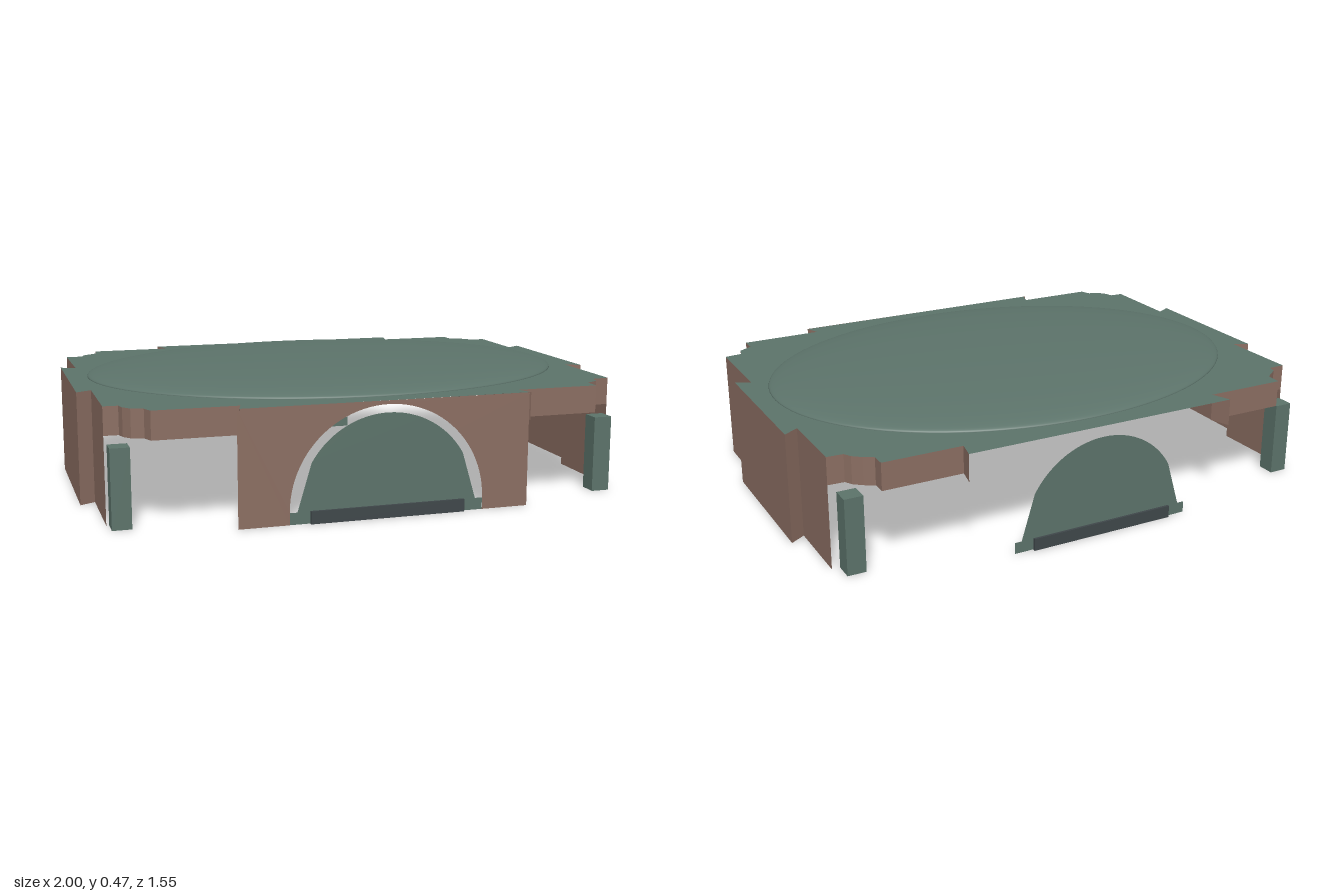
import * as THREE from 'three';

const mat = (name, color, extra = {}) => Object.assign(new THREE.MeshStandardMaterial({ color, ...extra }), { name });

export function createModel() {
  const green = mat('slate green', 0x5c736a, { side: THREE.DoubleSide });
  const brown = mat('clay brown', 0x8b6e62, { side: THREE.DoubleSide });
  const dark = mat('charcoal', 0x3f474a);

  const model = new THREE.Group();
  const add = (name, geometry, material, x = 0, y = 0, z = 0) => {
    const mesh = new THREE.Mesh(geometry, material);
    mesh.name = name;
    mesh.position.set(x, y, z);
    model.add(mesh);
    return mesh;
  };

  const TOP = 0.41, SKIRT = 0.31;

  // Roof outline as [x, z], clockwise from above, starting at the front bay
  const outline = [
    [0.532, 0.757], [-0.522, 0.76], [-0.505, 0.705], [-0.805, 0.705], [-0.82, 0.665], [-0.862, 0.65],
    [-0.885, 0.62], [-0.893, 0.587], [-0.945, 0.585], [-0.945, 0.265], [-1, 0.295], [-1, -0.285],
    [-0.945, -0.255], [-0.95, -0.56], [-0.885, -0.562], [-0.88, -0.59], [-0.855, -0.61], [-0.82, -0.635],
    [-0.815, -0.695], [-0.508, -0.695], [-0.535, -0.765], [0.525, -0.765], [0.51, -0.695], [0.805, -0.695],
    [0.805, -0.645], [0.84, -0.625], [0.87, -0.6], [0.885, -0.573], [0.945, -0.57], [0.945, -0.29],
    [1, -0.325], [1, 0.255], [0.945, 0.225], [0.945, 0.562], [0.88, 0.57], [0.87, 0.61],
    [0.82, 0.64], [0.82, 0.7], [0.51, 0.702],
  ];

  // Flat roof with an oval opening for the dome
  const RX = 0.925, RZ = 0.685;
  const roof = new THREE.Shape(outline.map(([x, z]) => new THREE.Vector2(x, -z)));
  roof.holes.push(new THREE.Path().absellipse(0, 0, RX, RZ, 0, Math.PI * 2));
  add('roof', new THREE.ShapeGeometry(roof, 48).rotateX(-Math.PI / 2), green, 0, TOP, 0);

  // Shallow oval dome
  const dome = new THREE.SphereGeometry(1, 96, 24, 0, Math.PI * 2, 0, Math.PI / 2);
  add('dome', dome.scale(RX, 0.055, RZ), green, 0, TOP, 0);

  // Full-height side walls and the shallow skirt; the two middle bays stay open
  const walls = [], skirt = [];
  outline.forEach(([ax, az], i) => {
    const [bx, bz] = outline[(i + 1) % outline.length];
    if (Math.abs(az) > 0.75 && Math.abs(bz) > 0.75) return;
    const full = Math.abs(ax) > 0.94 && Math.abs(bx) > 0.94;
    const low = full ? 0 : SKIRT;
    (full ? walls : skirt).push(
      ax, low, az, ax, TOP, az, bx, TOP, bz,
      ax, low, az, bx, TOP, bz, bx, low, bz);
  });
  const faces = (positions) => {
    const g = new THREE.BufferGeometry();
    g.setAttribute('position', new THREE.Float32BufferAttribute(positions, 3));
    g.computeVertexNormals();
    return g;
  };
  add('sideWalls', faces(walls), brown);
  add('skirt', faces(skirt), brown);

  // Front wall with an arched opening down to the ground
  const wall = new THREE.Shape();
  wall.moveTo(-0.53, 0).lineTo(-0.352, 0).lineTo(-0.352, 0.045);
  wall.absarc(0, 0.045, 0.352, Math.PI, 0, true);
  wall.lineTo(0.352, 0).lineTo(0.525, 0).lineTo(0.525, TOP).lineTo(-0.53, TOP);
  add('frontWall', new THREE.ShapeGeometry(wall, 24), brown, 0, 0, 0.759);

  // Arched doors with small feet, front and back
  const door = new THREE.Shape();
  door.moveTo(-0.352, 0).lineTo(0.352, 0).lineTo(0.352, 0.042).lineTo(0.325, 0.042);
  door.absarc(0, 0.05, 0.318, Math.PI / 6, Math.PI * 5 / 6, false);
  door.lineTo(-0.325, 0.042).lineTo(-0.352, 0.042);
  for (const [name, z, side] of [['front', 0.758, 1], ['back', -0.762, -1]]) {
    const panel = add(name + 'Door', new THREE.ShapeGeometry(door, 24), green, 0, 0, z);
    if (side < 0) panel.rotation.y = Math.PI;
    add(name + 'Sill', new THREE.BoxGeometry(0.56, 0.045, 0.009), dark, 0, 0.0225, z + side * 0.008);
  }

  // Corner posts
  for (const x of [-0.901, 0.882])
    for (const z of [-0.605, 0.617])
      add('cornerPost', new THREE.BoxGeometry(0.068, 0.28, 0.068), green, x, 0.14, z);

  return model;
}
